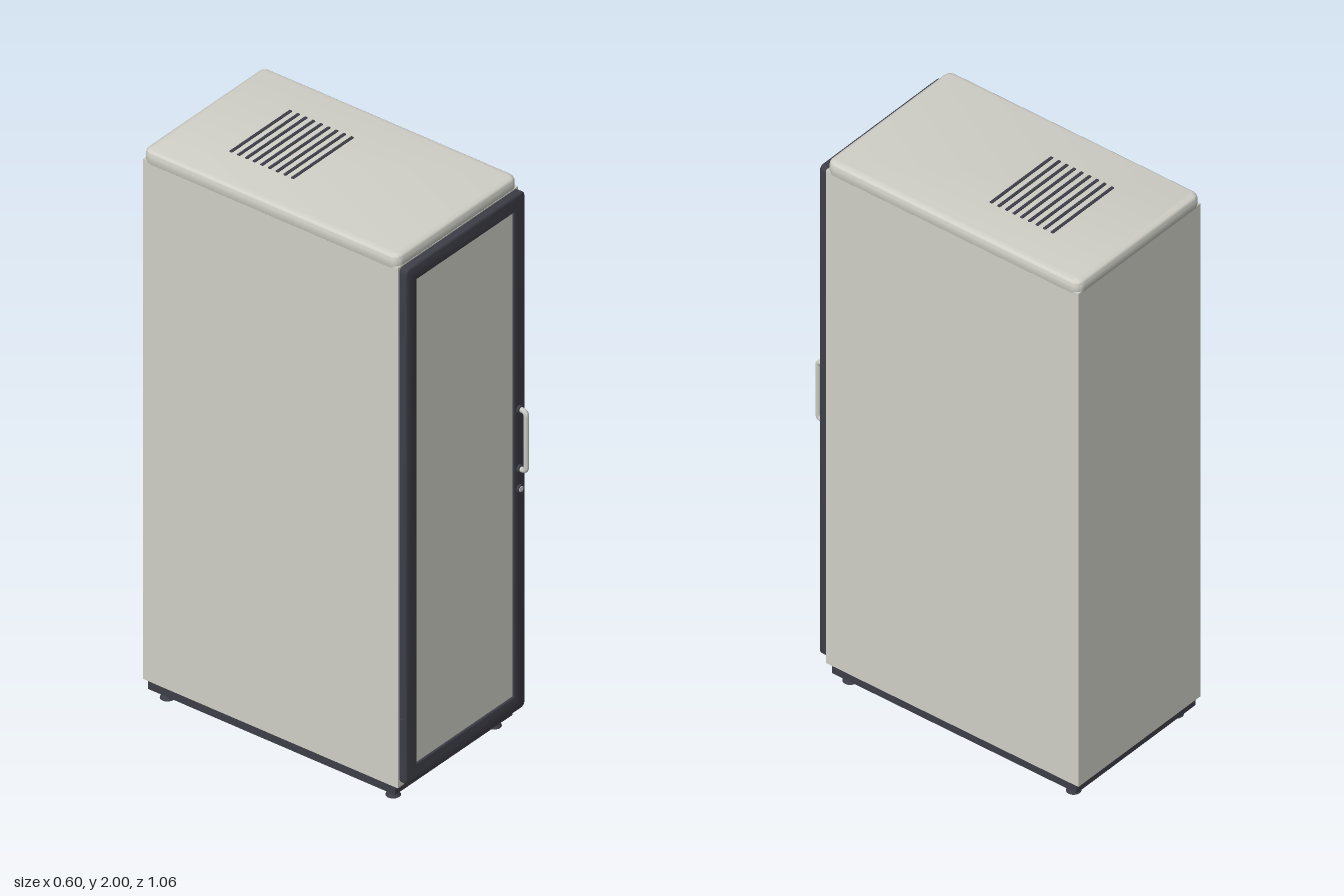
import * as THREE from 'three';
import { RoundedBoxGeometry } from 'three/addons/geometries/RoundedBoxGeometry.js';
import { toCreasedNormals } from 'three/addons/utils/BufferGeometryUtils.js';

// Rounded rectangle outline centred on the origin
function roundedRect(w, h, r) {
  const x = w / 2, y = h / 2, s = new THREE.Shape();
  s.moveTo(-x + r, -y);
  s.lineTo(x - r, -y);
  s.absarc(x - r, -y + r, r, -Math.PI / 2, 0);
  s.lineTo(x, y - r);
  s.absarc(x - r, y - r, r, 0, Math.PI / 2);
  s.lineTo(-x + r, y);
  s.absarc(-x + r, y - r, r, Math.PI / 2, Math.PI);
  s.lineTo(-x, -y + r);
  s.absarc(-x + r, -y + r, r, Math.PI, Math.PI * 1.5);
  return s;
}

export function createModel() {
  const group = new THREE.Group();
  const lightPaint = new THREE.MeshStandardMaterial({ color: 0xd0d0c8 });
  const darkPaint = new THREE.MeshStandardMaterial({ color: 0x3e3e48 });
  const metal = new THREE.MeshStandardMaterial({ color: 0xc9c9c6 });

  function add(name, geometry, material, x = 0, y = 0, z = 0) {
    const mesh = new THREE.Mesh(geometry, material);
    mesh.name = name;
    mesh.position.set(x, y, z);
    group.add(mesh);
    return mesh;
  }

  // Cabinet body
  add('cabinetBody', new THREE.BoxGeometry(0.592, 1.89, 0.994), lightPaint, 0, 1.013, -0.033);

  // Top cover with softened edges
  const cover = new THREE.ExtrudeGeometry(roundedRect(0.562, 0.96, 0.012), {
    depth: 0.022, bevelThickness: 0.018, bevelSize: 0.017, bevelSegments: 5, curveSegments: 6,
  });
  cover.rotateX(-Math.PI / 2);
  add('topCover', toCreasedNormals(cover, 0.7), lightPaint, 0, 1.958, -0.034);

  // Ventilation slots on the top cover
  for (let i = 0; i < 9; i++) {
    add('ventSlot', new RoundedBoxGeometry(0.298, 0.006, 0.011, 2, 0.0025), darkPaint,
      0, 1.9985, -0.305 + i * 0.03);
  }

  // Plinth
  add('plinth', new THREE.BoxGeometry(0.576, 0.04, 0.964), darkPaint, 0, 0.053, -0.035);

  // Levelling feet: a flat pad and a threaded stem
  const pad = new THREE.CylinderGeometry(0.017, 0.024, 0.014, 20);
  const stem = new THREE.CylinderGeometry(0.01, 0.01, 0.03, 16);
  for (const x of [-0.248, 0.248]) {
    for (const z of [-0.472, 0.408]) {
      add('footPad', pad, darkPaint, x, 0.007, z);
      add('footStem', stem, darkPaint, x, 0.025, z);
    }
  }

  // Door frame with a rectangular opening
  const frameShape = roundedRect(0.572, 1.862, 0.012);
  frameShape.holes.push(new THREE.Path([
    new THREE.Vector2(-0.244, -0.885), new THREE.Vector2(-0.244, 0.885),
    new THREE.Vector2(0.244, 0.885), new THREE.Vector2(0.244, -0.885),
  ]));
  const frame = new THREE.ExtrudeGeometry(frameShape, {
    depth: 0.018, bevelThickness: 0.006, bevelSize: 0.006, bevelSegments: 3, curveSegments: 6,
  });
  add('doorFrame', toCreasedNormals(frame, 0.7), darkPaint, 0, 1.021, 0.47);

  // Door panel
  add('doorPanel', new THREE.BoxGeometry(0.49, 1.78, 0.022), lightPaint, 0, 1.021, 0.476);

  // Hinges on the right edge of the door
  for (const y of [0.265, 1.775]) {
    add('hinge', new THREE.CylinderGeometry(0.009, 0.009, 0.115, 16), darkPaint, -0.288, y, 0.476);
  }

  // Pull handle with two mounting collars
  const path = new THREE.CurvePath();
  const v = (y, z) => new THREE.Vector3(0, y, z);
  path.add(new THREE.LineCurve3(v(-0.108, 0), v(-0.108, 0.015)));
  path.add(new THREE.QuadraticBezierCurve3(v(-0.108, 0.015), v(-0.108, 0.03), v(-0.092, 0.03)));
  path.add(new THREE.LineCurve3(v(-0.092, 0.03), v(0.092, 0.03)));
  path.add(new THREE.QuadraticBezierCurve3(v(0.092, 0.03), v(0.108, 0.03), v(0.108, 0.015)));
  path.add(new THREE.LineCurve3(v(0.108, 0.015), v(0.108, 0)));
  add('handle', new THREE.TubeGeometry(path, 80, 0.009, 12), metal, 0.262, 1.07, 0.492);
  const collar = new THREE.CylinderGeometry(0.014, 0.014, 0.008, 20);
  collar.rotateX(Math.PI / 2);
  for (const y of [0.962, 1.178]) add('handleCollar', collar, darkPaint, 0.262, y, 0.498);

  // Key lock below the handle
  const lockRing = new THREE.CylinderGeometry(0.014, 0.014, 0.01, 20);
  lockRing.rotateX(Math.PI / 2);
  add('lockRing', lockRing, darkPaint, 0.262, 0.89, 0.497);
  const lockCore = new THREE.CylinderGeometry(0.01, 0.01, 0.01, 20);
  lockCore.rotateX(Math.PI / 2);
  add('lockCore', lockCore, metal, 0.262, 0.89, 0.499);

  return group;
}
